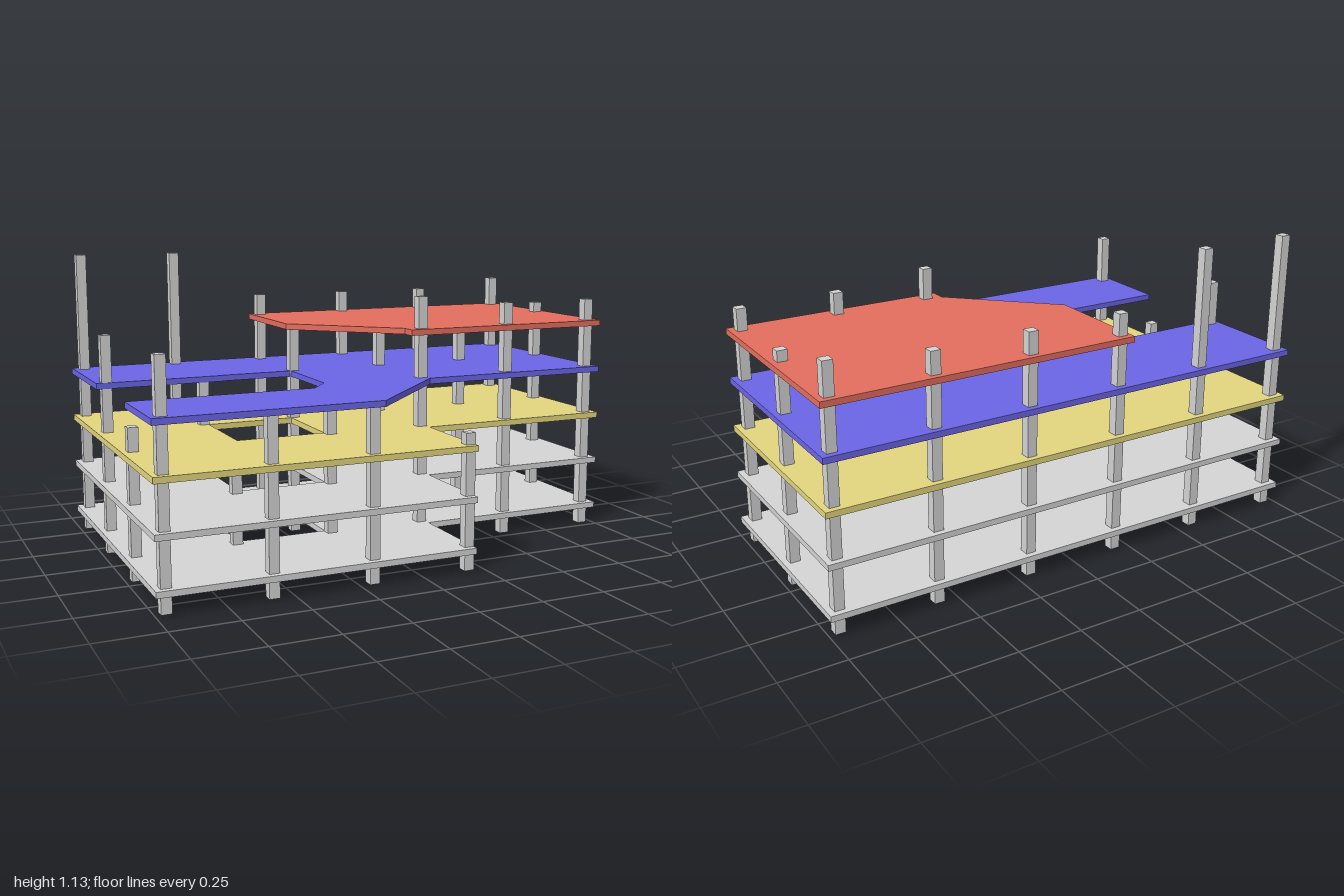
import * as THREE from 'three';

const material = (name, color) => {
  const m = new THREE.MeshStandardMaterial({ color });
  m.name = name;
  return m;
};

export function createModel() {
  const model = new THREE.Group();
  model.name = 'buildingFrame';

  const concrete = material('concreteGrey', 0xd5d5d5);
  const yellow = material('sandYellow', 0xe3d77e);
  const blue = material('violetBlue', 0x6d67ea);
  const red = material('brickRed', 0xe46e5e);

  const T = 0.023; // slab thickness

  // Outlines are [x, z]; the shape lies in x, -z so it turns flat onto the floor.
  const points = (list) => list.map(([x, z]) => new THREE.Vector2(x, -z));

  function addSlab(name, y, outline, mat, hole) {
    const shape = new THREE.Shape(points(outline));
    if (hole) shape.holes.push(new THREE.Path(points(hole)));
    const geo = new THREE.ExtrudeGeometry(shape, { depth: T, bevelEnabled: false });
    geo.rotateX(-Math.PI / 2);
    const mesh = new THREE.Mesh(geo, mat);
    mesh.name = name;
    mesh.position.y = y;
    model.add(mesh);
  }

  // Three full L-shaped floors with a stairwell opening (wound opposite to the outline)
  const fullFloor = [[-1, -0.617], [1, -0.617], [1, 0.233], [0.21, 0.233], [0.21, 0.617], [-1, 0.617]];
  const stairwell = [[-0.56, 0.17], [-0.21, 0.17], [-0.21, -0.172], [-0.56, -0.172]];
  addSlab('groundFloorSlab', 0.067, fullFloor, concrete, stairwell);
  addSlab('firstFloorSlab', 0.261, fullFloor, concrete, stairwell);
  addSlab('secondFloorSlab', 0.453, fullFloor, yellow, stairwell);

  // Fourth level, cut back around the open court
  addSlab('thirdFloorSlab', 0.646, [
    [-1, -0.617], [1, -0.617], [1, 0.233], [0.21, 0.233], [-0.165, 0.617], [-1, 0.617],
    [-1, 0.268], [-0.29, 0.268], [-0.21, 0.172], [-0.21, -0.173], [-0.5, -0.173], [-0.5, -0.168], [-1, -0.168],
  ], blue);

  // Top level with a slanted corner
  addSlab('roofSlab', 0.838, [
    [-0.23, -0.617], [1, -0.617], [1, 0.233], [0.13, 0.233], [0.13, 0.172], [-0.23, -0.17],
  ], red);

  // Columns on a regular grid: each row lists the top heights from -x to +x
  const xs = [-0.959, -0.576, -0.194, 0.191, 0.574, 0.957];
  const rows = [
    { z: -0.575, tops: [1.133, 1.133, 0.947, 0.947, 0.947, 0.985] },
    { z: -0.191, tops: [0.85, 0.66, 0.85, 0.85, 0.85, 0.902] },
    { z: 0.191, tops: [0.565, 0.465, 0.66, 0.985, 0.947, 0.947] },
    { z: 0.574, tops: [0.872, 0.66, 0.66, 0.52] },
  ];
  const columns = new THREE.Group();
  columns.name = 'columns';
  for (const { z, tops } of rows) {
    tops.forEach((top, i) => {
      const column = new THREE.Mesh(new THREE.BoxGeometry(0.039, top, 0.039), concrete);
      column.name = 'column';
      column.position.set(xs[i], top / 2, z);
      columns.add(column);
    });
  }
  model.add(columns);

  return model;
}
